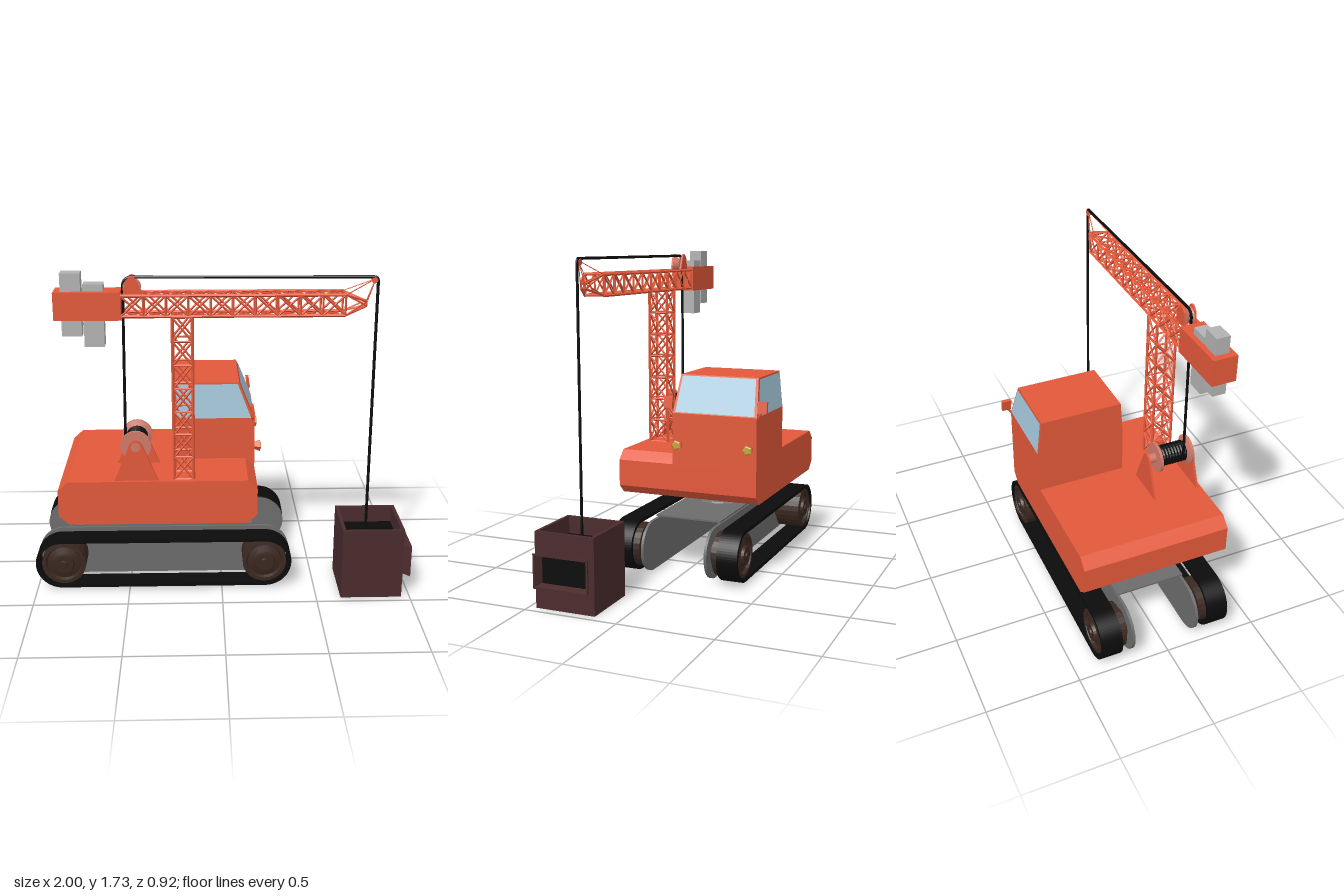
import * as THREE from 'three';
import { mergeGeometries } from 'three/addons/utils/BufferGeometryUtils.js';

const mat = (color, side = THREE.FrontSide) =>
  new THREE.MeshStandardMaterial({ color, side, flatShading: true });
const V = (x, y, z) => new THREE.Vector3(x, y, z);

export function createModel() {
  const model = new THREE.Group();
  const red = mat(0xe2593a), black = mat(0x0b0b0b), grey = mat(0x6c6c6c), rust = mat(0x4b2b2d);
  const wheelBrown = mat(0x3a2820), salmon = mat(0xd0796a), weightGrey = mat(0xb2b2b2);
  const glass = mat(0xa6c9dc, THREE.DoubleSide), lamp = mat(0xc4a63c);

  const add = (name, geo, material, parent = model) => {
    const m = new THREE.Mesh(geo, material);
    m.name = name;
    parent.add(m);
    return m;
  };
  // box given by its extents
  const box = (name, x0, x1, y0, y1, z0, z1, material, parent) => {
    const g = new THREE.BoxGeometry(x1 - x0, y1 - y0, z1 - z0);
    g.translate((x0 + x1) / 2, (y0 + y1) / 2, (z0 + z1) / 2);
    return add(name, g, material, parent);
  };
  // outline in x,y extruded from z0 to z1
  const slab = (shape, z0, z1) =>
    new THREE.ExtrudeGeometry(shape, { depth: z1 - z0, bevelEnabled: false, curveSegments: 16 }).translate(0, 0, z0);
  const poly = pts => new THREE.Shape(pts.map(p => new THREE.Vector2(...p)));
  const stadium = (x0, x1, y, r, Type = THREE.Shape) => {
    const s = new Type();
    s.absarc(x1, y, r, -Math.PI / 2, Math.PI / 2, false);
    s.absarc(x0, y, r, Math.PI / 2, Math.PI * 1.5, false);
    s.closePath();
    return s;
  };
  // solid of revolution about z, profile as [radius, z]
  const turned = (pts, x, y, n = 24) =>
    new THREE.LatheGeometry(pts.map(p => new THREE.Vector2(...p)), n).rotateX(Math.PI / 2).translate(x, y, 0);
  const bar = (a, b, r) => {
    const d = b.clone().sub(a);
    const g = new THREE.CylinderGeometry(r, r, d.length(), 4);
    g.applyQuaternion(new THREE.Quaternion().setFromUnitVectors(V(0, 1, 0), d.normalize()));
    return g.translate((a.x + b.x) / 2, (a.y + b.y) / 2, (a.z + b.z) / 2);
  };
  // lattice through successive rings of four corners
  const truss = (name, rings, chord = 0.008, brace = 0.0055) => {
    const parts = [];
    rings.forEach((ring, i) => {
      for (let k = 0; k < 4; k++) {
        const n = (k + 1) % 4;
        parts.push(bar(ring[k], ring[n], brace));
        if (i === 0) continue;
        const prev = rings[i - 1];
        parts.push(bar(prev[k], ring[k], chord), bar(prev[k], ring[n], brace), bar(prev[n], ring[k], brace));
      }
    });
    return add(name, mergeGeometries(parts), red);
  };

  // crawler tracks, mirrored about the chassis centre line
  const cz = -0.0175, wy = 0.155, xa = -0.86, xb = 0.235;
  for (const s of [1, -1]) {
    const track = new THREE.Group();
    track.name = s > 0 ? 'trackNear' : 'trackFar';
    model.add(track);
    const between = (z0, z1) => (s > 0 ? [cz + z0, cz + z1] : [cz - z1, cz - z0]);
    add('sidePlate', slab(stadium(xa, xb, wy, 0.137), ...between(0.1725, 0.1875)), grey, track);
    const loop = stadium(xa, xb, wy, 0.14);
    loop.holes.push(stadium(xa, xb, wy, 0.121, THREE.Path));
    add('belt', slab(loop, ...between(0.2425, 0.3575)), black, track);
    for (const x of [xa + 0.01, xb - 0.005]) {
      const profile = [[0, 0.185], [0.08, 0.185], [0.08, 0.2075], [0.118, 0.2075], [0.118, 0.35], [0.098, 0.352],
        [0.09, 0.335], [0.055, 0.345], [0.05, 0.36], [0.022, 0.36], [0.018, 0.3675], [0, 0.3675]];
      const g = turned(profile, 0, 0);
      if (s < 0) g.rotateY(Math.PI);
      add('wheel', g.translate(x, wy, cz), wheelBrown, track);
    }
  }
  box('chassisPlate', -0.8, 0.17, 0.298, 0.307, -0.205, 0.17, grey);
  const ring = [[0.17, 0.305], [0.165, 0.315], [0.13, 0.335], [0.125, 0.35], [0.1, 0.355], [0.1, 0.375], [0.12, 0.39], [0.12, 0.415]];
  add('turntable', new THREE.LatheGeometry(ring.map(p => new THREE.Vector2(...p)), 16).translate(-0.345, 0, cz), grey);

  // chamfered upper body
  add('body', slab(poly([[-0.8, 0.41], [0.135, 0.41], [0.185, 0.457], [0.185, 0.6], [0.135, 0.65],
    [-0.8, 0.65], [-0.855, 0.6], [-0.855, 0.457]]), -0.41, 0.385), red);

  // cab: straight lower part, tapered upper part with windows
  const cab = new THREE.Group();
  cab.name = 'cab';
  model.add(cab);
  box('cabBase', -0.25, 0.185, 0.59, 0.88, -0.41, 0.065, red, cab);
  const corner = (x, y, z) => V(x > 0 ? (y > 0 ? 0.1 : 0.18) : -0.25, y > 0 ? 1.08 : 0.88,
    z > 0 ? (y > 0 ? 0.05 : 0.065) : (y > 0 ? -0.39 : -0.41));
  const top = new THREE.BoxGeometry(1, 1, 1), tp = top.attributes.position;
  for (let i = 0; i < tp.count; i++) tp.setXYZ(i, ...corner(tp.getX(i), tp.getY(i), tp.getZ(i)).toArray());
  add('cabTop', top, red, cab);
  const pane = (name, a, b, c, d, out) => {
    const at = (u, v) => a.clone().lerp(b, u).lerp(d.clone().lerp(c, u), v).add(out);
    const [p, q, r, t] = [at(0.03, 0.02), at(0.97, 0.02), at(0.97, 0.96), at(0.03, 0.96)];
    const g = new THREE.BufferGeometry().setFromPoints([p, q, r, p, r, t]);
    g.computeVertexNormals();
    add(name, g, glass, cab);
  };
  pane('windscreen', corner(1, -1, 1), corner(1, -1, -1), corner(1, 1, -1), corner(1, 1, 1), V(0.004, 0.002, 0));
  pane('sideWindowNear', corner(-1, -1, 1), corner(1, -1, 1), corner(1, 1, 1), corner(-1, 1, 1), V(0, 0, 0.004));
  pane('sideWindowFar', corner(1, -1, -1), corner(-1, -1, -1), corner(-1, 1, -1), corner(1, 1, -1), V(0, 0, -0.004));

  // mirrors and headlights
  for (const s of [1, -1]) {
    const side = s > 0 ? 0.065 : -0.41;
    const mirror = add('mirror', new THREE.BoxGeometry(0.018, 0.062, 0.05), red, cab);
    mirror.position.set(0.172, 0.935, side + s * 0.028);
    mirror.rotation.z = 0.15;
    add('mirrorArm', bar(V(0.175, 0.87, side - s * 0.005), V(0.172, 0.915, side + s * 0.028), 0.006), red, cab);
    const z = s > 0 ? 0.03 : -0.37;
    const housing = new THREE.CylinderGeometry(0.034, 0.02, 0.035, 5).rotateZ(-Math.PI / 2);
    add('lampHousing', housing.translate(0.2, 0.712, z), red, cab);
    add('lampLens', new THREE.CylinderGeometry(0.02, 0.03, 0.006, 5).rotateZ(-Math.PI / 2).translate(0.219, 0.712, z), lamp, cab);
  }

  // winch: two triangular brackets, flanged drum with rope
  const wx = -0.445, wh = 0.835;
  const bracket = poly([[-0.56, 0.645], [-0.33, 0.645], [-0.412, 0.845], [-0.425, 0.864], [-0.445, 0.872],
    [-0.465, 0.864], [-0.478, 0.845]]);
  for (const z of [0.11, 0.356]) add('winchBracket', slab(bracket, z, z + 0.012), red);
  add('winchDrum', turned([[0, 0.122], [0.025, 0.122], [0.025, 0.16], [0.08, 0.16], [0.08, 0.175], [0.045, 0.188], [0.045, 0.325],
    [0.08, 0.338], [0.08, 0.352], [0.025, 0.352], [0.025, 0.372], [0, 0.372]], wx, wh), salmon);
  for (let i = 0; i < 8; i++)
    add('ropeCoil', new THREE.TorusGeometry(0.048, 0.009, 6, 20).translate(wx, wh, 0.197 + i * 0.017), black);

  // mast and jib lattices
  const z0 = 0.244, z1 = 0.352, zr = 0.298;
  const mast = [];
  for (let i = 0; i <= 7; i++) {
    const y = 0.65 + i * 0.123;
    mast.push([V(-0.248, y, z0), V(-0.148, y, z0), V(-0.148, y, z1), V(-0.248, y, z1)]);
  }
  truss('mast', mast);
  const section = (x, ya, yb, za, zb) => [V(x, ya, za), V(x, yb, za), V(x, yb, zb), V(x, ya, zb)];
  const jib = [];
  for (let i = 0; i <= 10; i++) jib.push(section(-0.5 + i * 0.111, 1.517, 1.62, z0, z1));
  truss('jib', jib);
  truss('jibNose', [jib[10], section(0.72, 1.555, 1.578, 0.285, 0.311)], 0.005, 0.004);
  const tip = V(0.762, 1.69, zr);
  add('tipStays', mergeGeometries([V(0.61, 1.62, z0), V(0.61, 1.62, z1), V(0.72, 1.57, 0.285), V(0.72, 1.57, 0.311)]
    .map(p => bar(p, tip, 0.0025))), red);
  add('tipPulley', turned([[0, -0.01], [0.016, -0.01], [0.01, 0], [0.016, 0.01], [0, 0.01]], 0.757, 1.683, 12).translate(0, 0, zr), red);

  // counterweight
  box('counterweightBox', -0.83, -0.5, 1.5, 1.64, 0.234, 0.362, red);
  box('weightRear', -0.795, -0.695, 1.415, 1.73, 0.262, 0.334, weightGrey);
  box('weightFront', -0.685, -0.585, 1.36, 1.675, 0.262, 0.334, weightGrey);

  // pulley on top of the jib
  const cheek = poly([[-0.49, 1.62], [-0.395, 1.62], [-0.42, 1.69], [-0.43, 1.707], [-0.445, 1.713], [-0.46, 1.707], [-0.475, 1.69]]);
  for (const z of [0.265, 0.321]) add('pulleyCheek', slab(cheek, z, z + 0.01), red);
  add('pulley', turned([[0, -0.02], [0.045, -0.02], [0.03, 0], [0.045, 0.02], [0, 0.02]], -0.445, 1.655, 20).translate(0, 0, zr), salmon);

  // hoisting rope from drum over both pulleys to the skip
  const rope = new THREE.CurvePath();
  const run = [V(-0.5, 0.845, zr), V(-0.49, 1.66, zr), V(-0.44, 1.704, zr), V(0.755, 1.699, zr), V(0.775, 1.675, zr), V(0.775, 0.29, zr)];
  rope.add(new THREE.LineCurve3(run[0], run[1]));
  rope.add(new THREE.QuadraticBezierCurve3(run[1], V(-0.489, 1.704, zr), run[2]));
  rope.add(new THREE.LineCurve3(run[2], run[3]));
  rope.add(new THREE.QuadraticBezierCurve3(run[3], V(0.775, 1.699, zr), run[4]));
  rope.add(new THREE.LineCurve3(run[4], run[5]));
  add('rope', new THREE.TubeGeometry(rope, 400, 0.008, 6), black);

  // skip: square open box with a flared side chute
  const frame = (w, h, t) => {
    const s = poly([[-w, -h], [w, -h], [w, h], [-w, h]]);
    s.holes.push(poly([[-w + t, -h + t], [-w + t, h - t], [w - t, h - t], [w - t, -h + t]]));
    return s;
  };
  const sx = 0.793;
  add('skipWalls', slab(frame(0.1625, 0.1625, 0.018), 0, 0.39).rotateX(-Math.PI / 2).translate(sx, 0, zr), rust);
  box('skipFloor', 0.64, 0.945, 0.001, 0.02, 0.145, 0.45, rust);
  box('skipLoad', 0.645, 0.94, 0.02, 0.3, 0.15, 0.446, black);
  const chute = slab(frame(0.15, 0.088, 0.01), 0, 0.046), cp = chute.attributes.position;
  for (let i = 0; i < cp.count; i++) {
    const k = 0.87 + 0.13 * cp.getZ(i) / 0.046;
    cp.setXY(i, cp.getX(i) * k, cp.getY(i) * k);
  }
  chute.rotateY(Math.PI / 2).translate(0.954, 0.202, zr);
  chute.computeVertexNormals();
  add('chute', chute, rust);
  box('chuteOpening', 0.95, 0.96, 0.134, 0.27, 0.178, 0.418, black);

  return model;
}
